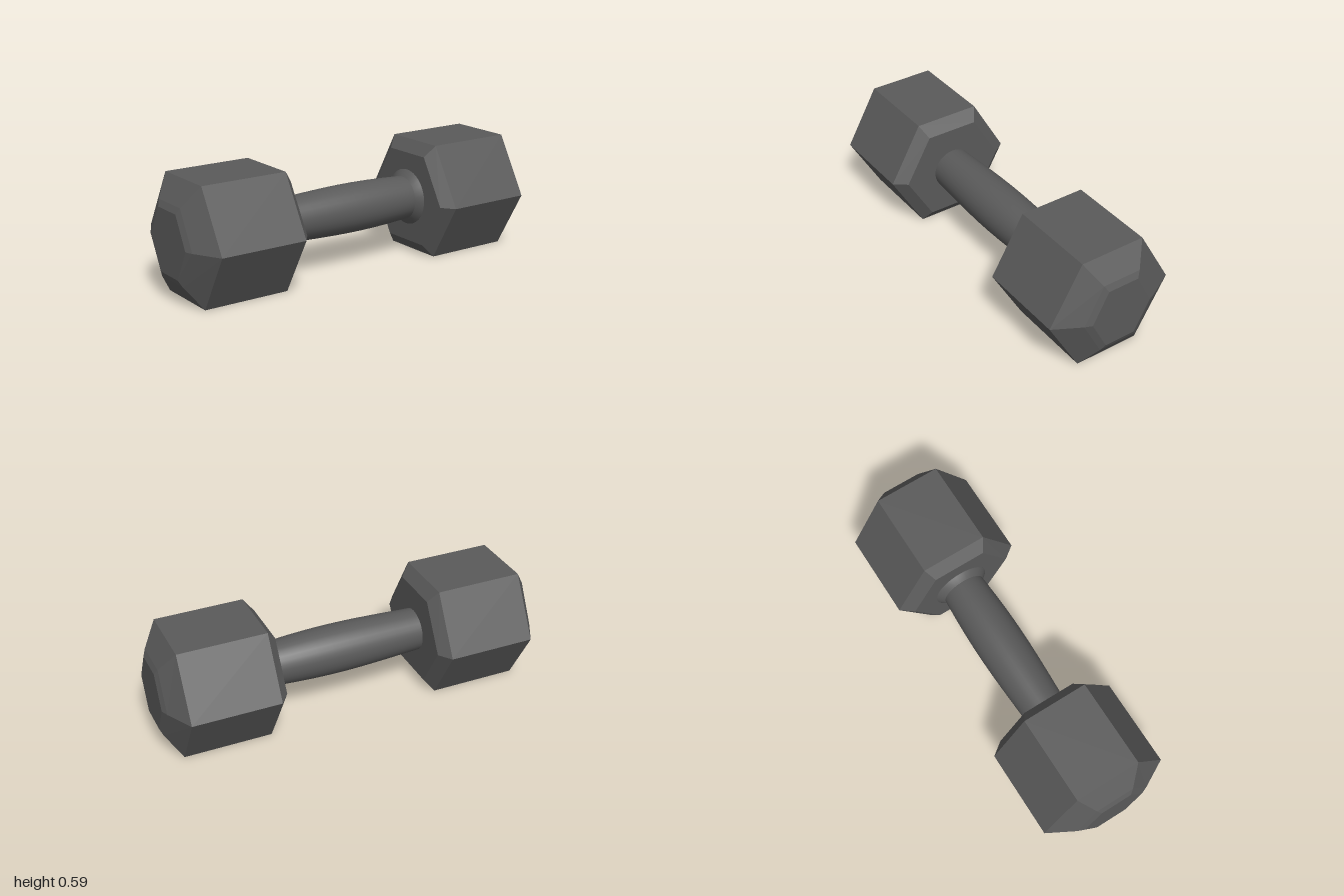
import * as THREE from 'three';

const AXIS_Y = 0.297;

// Hexagonal solid along +x; each section is [x, half height, half depth], from inner to outer end.
function hexSolid(sections) {
  const positions = [];
  const loops = sections.map(([x, h, d]) => {
    const corners = [[0, d], [h, d / 2], [h, -d / 2], [0, -d], [-h, -d / 2], [-h, d / 2]];
    return corners.map(([y, z]) => [x, y, z]);
  });
  const triangle = (a, b, c) => positions.push(...a, ...b, ...c);
  for (let s = 0; s < loops.length - 1; s++) {
    for (let i = 0; i < 6; i++) {
      const j = (i + 1) % 6;
      const [a, b, c, d] = [loops[s][i], loops[s][j], loops[s + 1][j], loops[s + 1][i]];
      triangle(a, d, c);
      triangle(a, c, b);
    }
  }
  // flat end caps
  const first = loops[0], last = loops[loops.length - 1];
  for (let i = 1; i < 5; i++) {
    triangle(first[0], first[i], first[i + 1]);
    triangle(last[0], last[i + 1], last[i]);
  }
  const geometry = new THREE.BufferGeometry();
  geometry.setAttribute('position', new THREE.Float32BufferAttribute(positions, 3));
  geometry.computeVertexNormals();
  return geometry;
}

// Round part along x from [x, radius] points.
function turned(points, segments) {
  const profile = points.map(([x, r]) => new THREE.Vector2(r, x));
  return new THREE.LatheGeometry(profile, segments).rotateZ(-Math.PI / 2);
}

export function createModel() {
  const model = new THREE.Group();
  model.name = 'dumbbell';

  const headMaterial = new THREE.MeshStandardMaterial({ color: 0x5a5a5a, flatShading: true });
  const gripMaterial = new THREE.MeshStandardMaterial({ color: 0x5a5a5a, side: THREE.DoubleSide });

  function add(name, geometry, material) {
    const mesh = new THREE.Mesh(geometry, material);
    mesh.name = name;
    mesh.position.y = AXIS_Y;
    model.add(mesh);
    return mesh;
  }

  // Weights with bevelled inner rim and two-step outer face
  const headGeometry = hexSolid([
    [0.408, 0.236, 0.275],
    [0.457, 0.297, 0.341],
    [0.91, 0.297, 0.341],
    [0.985, 0.19, 0.203],
    [1.0, 0.159, 0.166],
  ]);
  add('leftHead', headGeometry, headMaterial);
  add('rightHead', headGeometry, headMaterial).rotation.y = Math.PI;

  // Handle, gently swollen at the middle of the grip
  const grip = [];
  for (let i = 0; i <= 10; i++) {
    const t = i / 10;
    grip.push([-0.43 + 0.86 * t, 0.109 + 0.017 * Math.sin(Math.PI * Math.pow(t, 1.15))]);
  }
  add('handle', turned(grip, 32), gripMaterial);

  // Flared collar where the handle enters the left head
  add('collar', turned([[0.372, 0.108], [0.378, 0.114], [0.405, 0.146], [0.412, 0.146]], 32), gripMaterial);

  return model;
}
